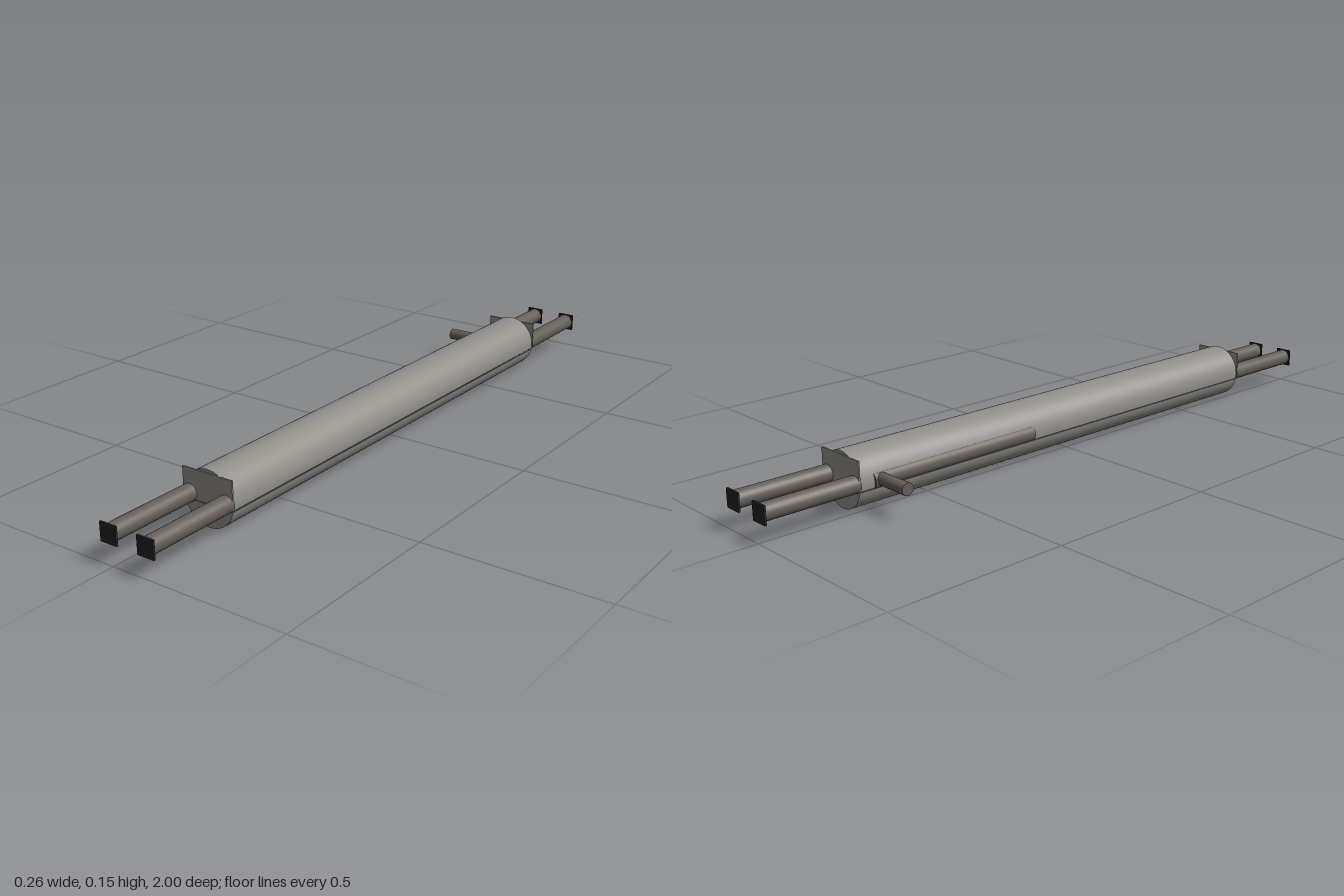
import * as THREE from 'three';

export function createModel() {
  const model = new THREE.Group();
  const mat = (name, color, side = THREE.FrontSide) => {
    const m = new THREE.MeshStandardMaterial({ color, side });
    m.name = name;
    return m;
  };
  const shellGrey = mat('shellGrey', 0x908e88);
  const pipeBrown = mat('pipeBrown', 0x665e57);
  const black = mat('black', 0x222222);
  const seamDark = mat('seamDark', 0x3c3934);

  const add = (name, geometry, material, x, y, z) => {
    const mesh = new THREE.Mesh(geometry, material);
    mesh.name = name;
    mesh.position.set(x, y, z);
    model.add(mesh);
    return mesh;
  };

  const CX = 0.048, CY = 0.077, R = 0.0765, HALF = 0.727;
  const PIPE_Y = 0.08, PIPE_R = 0.0235;

  // Two shell halves, each a circular segment split along a narrow seam
  const segment = (level, upper) => {
    const a = Math.asin((level - CY) / R);
    const s = new THREE.Shape();
    if (upper) s.absarc(0, 0, R, a, Math.PI - a, false);
    else s.absarc(0, 0, R, Math.PI - a, Math.PI * 2 + a, false);
    s.closePath();
    const g = new THREE.ExtrudeGeometry(s, { depth: HALF * 2, bevelEnabled: false, curveSegments: 40 });
    // Radial normals keep the curved side smooth
    const p = g.attributes.position, n = g.attributes.normal;
    for (let i = 0; i < p.count; i++) {
      const x = p.getX(i), y = p.getY(i);
      const radial = (n.getX(i) * x + n.getY(i) * y) / R;
      if (radial > 0.9) n.setXYZ(i, x / R, y / R, 0);
    }
    return g;
  };
  add('upperShell', segment(0.0645, true), shellGrey, CX, CY, -HALF);
  add('lowerShell', segment(0.0605, false), shellGrey, CX, CY, -HALF);
  add('seam', new THREE.BoxGeometry(0.146, 0.006, HALF * 2 - 0.004), seamDark, CX, 0.0625, 0);

  // Pipe ends, square end caps and end plates, mirrored front to back
  const pipe = (r, length) => new THREE.CylinderGeometry(r, r, length, 32).rotateX(Math.PI / 2);
  for (const side of [1, -1]) {
    add('endPlate', new THREE.BoxGeometry(0.156, 0.081, 0.004), shellGrey, CX, 0.1045, side * (HALF + 0.001));
    for (const x of [-0.01, 0.105]) {
      add('pipe', pipe(PIPE_R, 0.27), pipeBrown, x, PIPE_Y, side * 0.86);
      add('pipeEndCap', new THREE.BoxGeometry(0.05, 0.05, 0.006), black, x, PIPE_Y, side * 0.997);
    }
  }

  // Inner pipe that bulges slightly through the shell, with its side outlet
  add('innerPipe', pipe(PIPE_R + 0.001, 0.535), pipeBrown, -0.0105, PIPE_Y, -0.415);
  add('sideOutlet', new THREE.CylinderGeometry(0.017, 0.017, 0.123, 24).rotateZ(Math.PI / 2),
    pipeBrown, -0.0705, 0.082, -0.66);

  return model;
}
